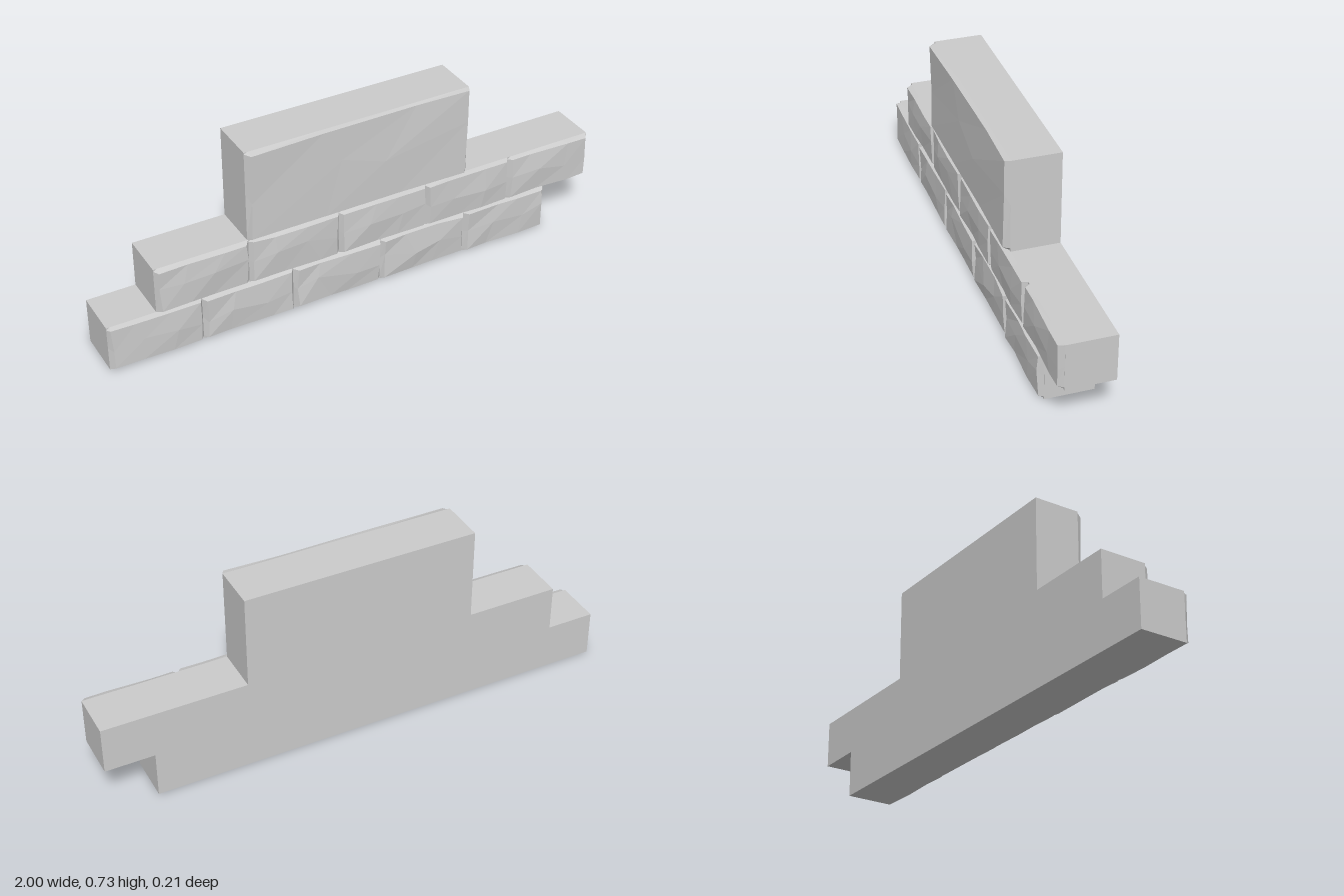
import * as THREE from 'three';

const BACK = -0.105, JOINT = 0.077; // back plane and depth of the joints
const ROW = 0.182, BRICK = 0.362;

const material = new THREE.MeshStandardMaterial({ color: 0xcccccc, flatShading: true });

// Small seeded generator for the hand-cut irregularity
let seed = 7;
function rand(a, b) {
  seed = (seed * 16807) % 2147483647;
  return a + (b - a) * (seed / 2147483647);
}

// Chamfered, rough stone face: outer ring sits in the joint, inner grid bulges forward
function stoneFace(name, x0, y0, w, h, insets, depthAt) {
  const { side, top, bottom } = insets;
  const geo = new THREE.PlaneGeometry(1, 1, 5, 4);
  const p = geo.attributes.position;
  const us = [0, side / w, 0.33, 0.68, 1 - side / w, 1];
  const vs = [1, 1 - top / h, 0.52, bottom / h, 0]; // rows run from the top down
  for (let i = 0; i < p.count; i++) {
    const c = i % 6, r = Math.floor(i / 6);
    let u = us[c], v = vs[r], z = JOINT;
    if (c > 0 && c < 5 && r > 0 && r < 4) {
      const innerU = c > 1 && c < 4, innerV = r === 2;
      u += innerU ? rand(-0.09, 0.09) : rand(-0.004, 0.004) / w;
      v += innerV ? rand(-0.12, 0.12) : rand(-0.003, 0.003) / h;
      z = depthAt(u, v, innerU && innerV);
    }
    p.setXYZ(i, x0 + u * w, y0 + v * h, z);
  }
  const flat = geo.toNonIndexed();
  flat.computeVertexNormals();
  const mesh = new THREE.Mesh(flat, material);
  mesh.name = name;
  return mesh;
}

export function createModel() {
  seed = 7;
  const model = new THREE.Group();
  model.name = 'steppedStoneWall';

  // Solid stepped body behind the stone faces
  const outline = new THREE.Shape([
    [-1, 0], [0.812, 0], [0.812, ROW], [1, ROW], [1, 2 * ROW], [0.45, 2 * ROW],
    [0.45, 0.727], [-0.453, 0.727], [-0.453, 2 * ROW], [-0.812, 2 * ROW],
    [-0.812, ROW], [-1, ROW],
  ].map(([x, y]) => new THREE.Vector2(x, y)));
  const bodyGeo = new THREE.ExtrudeGeometry(outline, { depth: JOINT - BACK, bevelEnabled: false });
  bodyGeo.translate(0, 0, BACK);
  const body = new THREE.Mesh(bodyGeo, material);
  body.name = 'wallBody';
  model.add(body);

  // Two offset courses of five bricks
  const brickInsets = { side: 0.013, top: 0.008, bottom: 0.011 };
  [-1, -0.811].forEach((start, row) => {
    const course = new THREE.Group();
    course.name = row ? 'upperCourse' : 'lowerCourse';
    for (let i = 0; i < 5; i++) {
      course.add(stoneFace('brickFace', start + i * BRICK, row * ROW, BRICK, ROW, brickInsets,
        (u, v, inner) => (inner ? rand(0.099, 0.104) : rand(0.092, 0.1))));
    }
    model.add(course);
  });

  // Large top stone with a worn hollow along its upper edge
  model.add(stoneFace('topStoneFace', -0.453, 2 * ROW, 0.903, 0.727 - 2 * ROW,
    { side: 0.014, top: 0.006, bottom: 0.014 },
    (u, v, inner) => {
      const hollow = 0.017 * Math.max(0, 1 - Math.abs(u - 0.6) / 0.32) * v;
      return (inner ? 0.104 : 0.099) - hollow + rand(-0.003, 0.003);
    }));

  return model;
}
